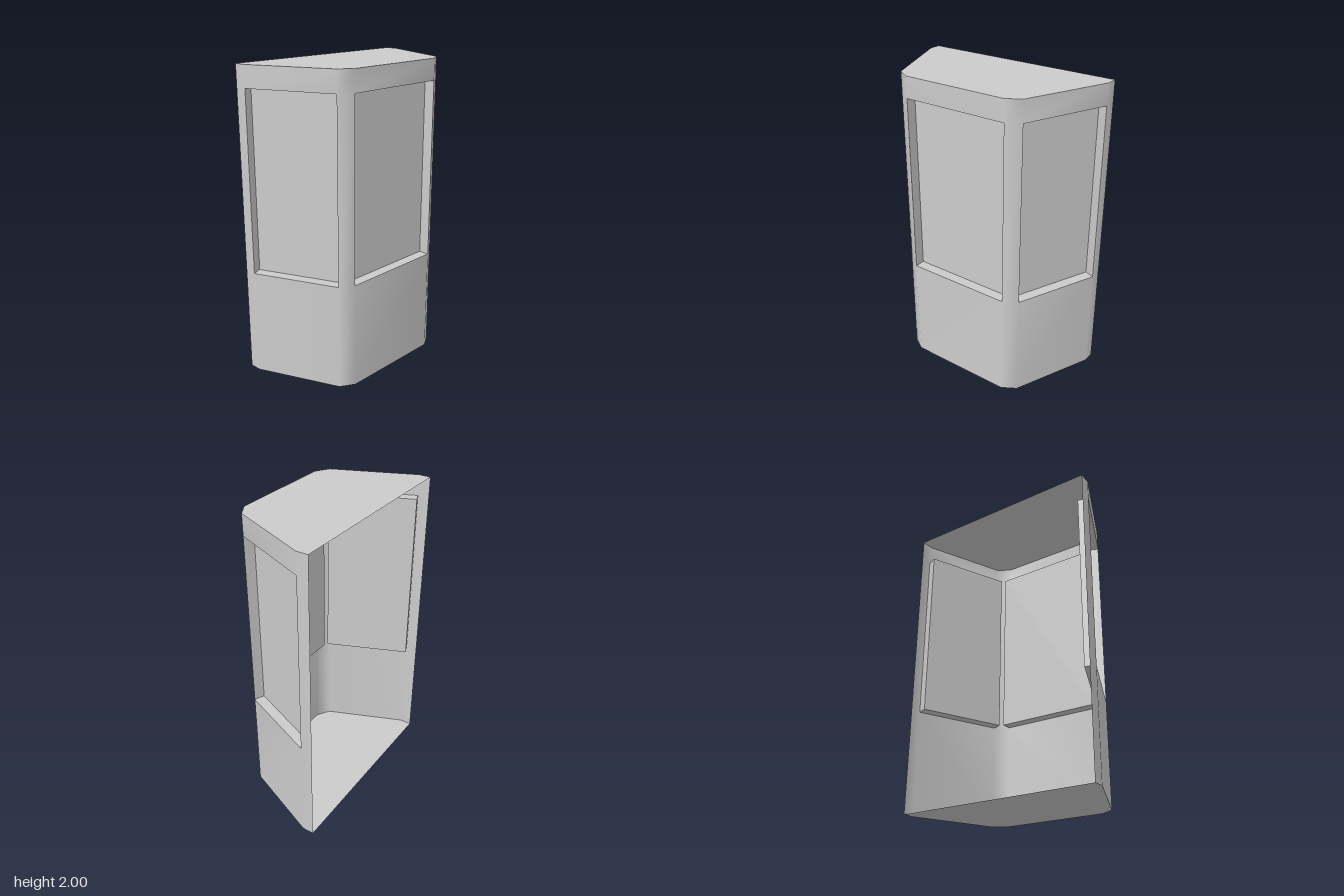
import * as THREE from 'three';

const material = new THREE.MeshStandardMaterial({ color: 0xcccccc, side: THREE.DoubleSide });

// Half plan (x, z) mirrored into the full outline, running from the -x back corner to the +x one
const half = [[-0.667, -0.333], [-0.667, -0.255], [-0.445, 0.278], [-0.355, 0.333]];
const plan = [...half, ...half.map(([x, z]) => [-x, z]).reverse()];
const levels = [0, 0.693, 1.862, 2];
const windowSides = [1, 3, 5];
const depth = 0.07;

function mesh(name, geometry) {
  const m = new THREE.Mesh(geometry, material);
  m.name = name;
  return m;
}

// Smooth wrap-around wall with the window openings left out
function wallGeometry() {
  const positions = [], index = [], n = plan.length;
  for (const y of levels) for (const [x, z] of plan) positions.push(x, y, z);
  for (let row = 0; row < levels.length - 1; row++) {
    for (let i = 0; i < n - 1; i++) {
      if (row === 1 && windowSides.includes(i)) continue;
      const a = row * n + i, b = a + 1, c = b + n, d = a + n;
      index.push(a, b, c, a, c, d);
    }
  }
  const g = new THREE.BufferGeometry();
  g.setAttribute('position', new THREE.Float32BufferAttribute(positions, 3));
  g.setIndex(index);
  g.computeVertexNormals();
  return g;
}

// Flat plate in the shape of the plan, facing up or down
function plateGeometry(up) {
  const s = up ? -1 : 1;
  const shape = new THREE.Shape(plan.map(([x, z]) => new THREE.Vector2(x, s * z)));
  return new THREE.ShapeGeometry(shape).rotateX(s * Math.PI / 2);
}

// Recessed window: pane set back from the wall, with four reveals around it
function createWindow(name, [ax, az], [bx, bz]) {
  const group = new THREE.Group();
  group.name = name;
  const w = Math.hypot(bx - ax, bz - az), h = levels[2] - levels[1];
  group.add(mesh('pane', new THREE.PlaneGeometry(w, h).translate(0, 0, -depth)));
  for (const s of [-1, 1]) {
    group.add(mesh(s < 0 ? 'sill' : 'head',
      new THREE.PlaneGeometry(w, depth).rotateX(s * Math.PI / 2).translate(0, s * h / 2, -depth / 2)));
    group.add(mesh('jamb',
      new THREE.PlaneGeometry(depth, h).rotateY(-s * Math.PI / 2).translate(s * w / 2, 0, -depth / 2)));
  }
  group.position.set((ax + bx) / 2, (levels[1] + levels[2]) / 2, (az + bz) / 2);
  group.rotation.y = Math.atan2(az - bz, bx - ax);
  return group;
}

export function createModel() {
  const model = new THREE.Group();
  model.name = 'bayWindow';
  model.add(mesh('wall', wallGeometry()));
  model.add(mesh('floor', plateGeometry(false)));
  const roof = mesh('roof', plateGeometry(true));
  roof.position.y = 2;
  model.add(roof);
  const names = ['rightWindow', 'frontWindow', 'leftWindow'];
  windowSides.forEach((i, k) => model.add(createWindow(names[k], plan[i], plan[i + 1])));
  return model;
}
